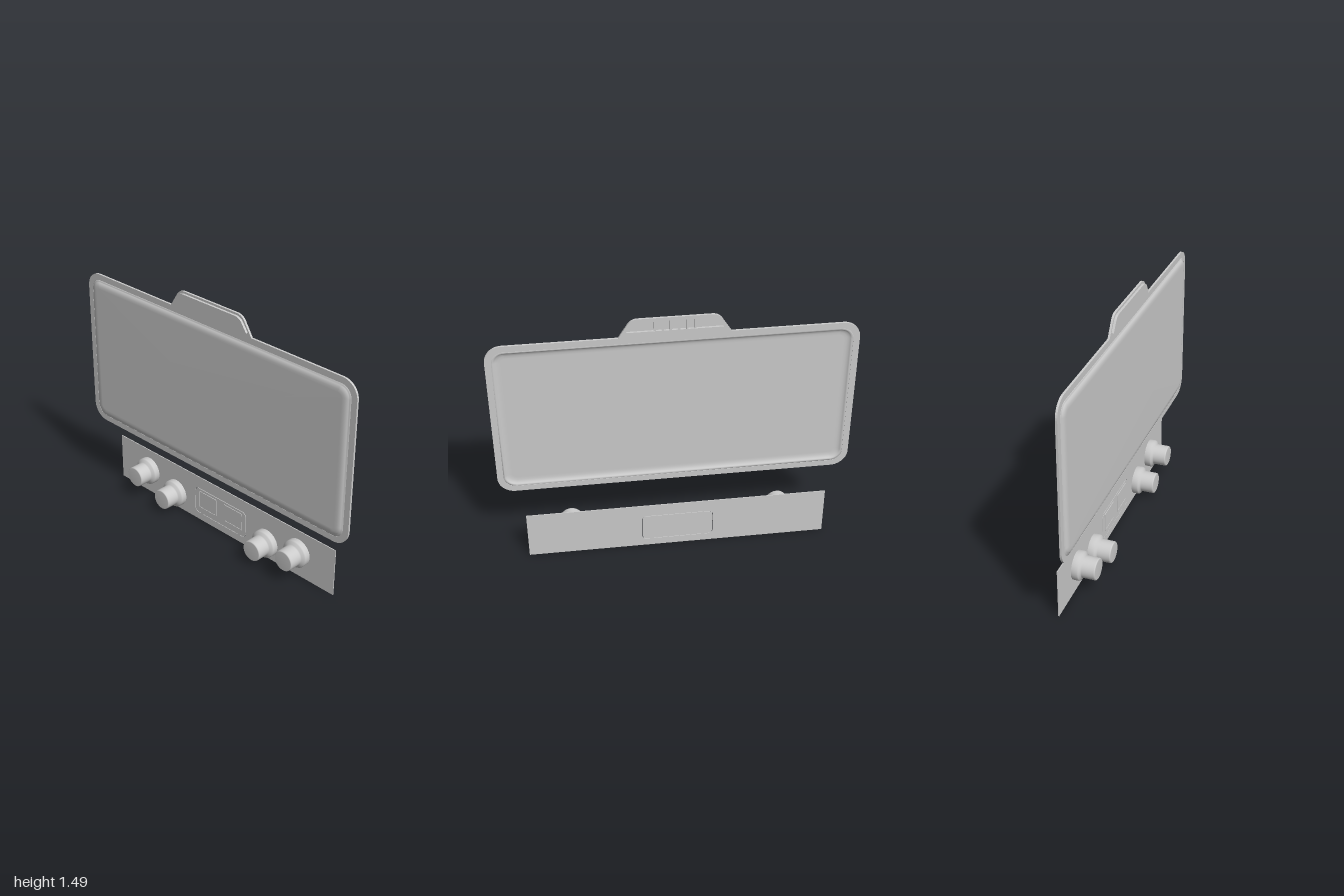
import * as THREE from 'three';

const material = new THREE.MeshStandardMaterial({ color: 0xcccccc });
const SCREEN_Y = 0.901; // height of the screen's centre
const PANEL_X = -0.003; // centre of the control panel

function add(parent, name, geometry, x = 0, y = 0, z = 0) {
  const mesh = new THREE.Mesh(geometry, material);
  mesh.name = name;
  mesh.position.set(x, y, z);
  parent.add(mesh);
  return mesh;
}

// Counter-clockwise corner arcs of a rounded rectangle, starting bottom right
function roundedRect(hx, hy, r, cx = 0, cy = 0, n = 10) {
  const points = [];
  [[1, -1], [1, 1], [-1, 1], [-1, -1]].forEach(([sx, sy], corner) => {
    for (let i = 0; i <= n; i++) {
      const a = (corner - 1 + i / n) * Math.PI / 2;
      points.push(new THREE.Vector2(cx + sx * (hx - r) + r * Math.cos(a), cy + sy * (hy - r) + r * Math.sin(a)));
    }
  });
  return points;
}

function plate(shape, depth) {
  return new THREE.ExtrudeGeometry(shape, { depth, bevelEnabled: false, curveSegments: 10 });
}

// Right-hand half of the ear's outline, mirrored to the left
function earOutline(foot, footY, shoulder, shoulderY, cornerX, top, topY) {
  const curve = new THREE.QuadraticBezierCurve(
    new THREE.Vector2(shoulder, shoulderY), new THREE.Vector2(cornerX, topY), new THREE.Vector2(top, topY));
  const right = [new THREE.Vector2(foot, footY), ...curve.getPoints(10)];
  return [...right, ...right.map(p => new THREE.Vector2(-p.x, p.y)).reverse()];
}

// Closed pressed sheet: rings run from the front centre, round the edge, to the back centre
function pressedSheet(rings) {
  const position = [], index = [];
  const loops = rings.map(([inset, z]) =>
    roundedRect(1 - inset, 0.479 - inset, 0.095 - inset * 0.8).map(p => [p.x, p.y, z]));
  const n = loops[0].length;
  loops.forEach(loop => loop.forEach(p => position.push(...p)));
  for (let k = 0; k < loops.length - 1; k++) {
    for (let i = 0; i < n; i++) {
      const a = k * n + i, b = k * n + (i + 1) % n;
      index.push(a, a + n, b, b, a + n, b + n);
    }
  }
  const front = position.length / 3, last = (loops.length - 1) * n;
  position.push(0, 0, rings[0][1], 0, 0, rings[rings.length - 1][1]);
  for (let i = 0; i < n; i++) {
    const j = (i + 1) % n;
    index.push(front, i, j, front + 1, last + j, last + i);
  }
  const geometry = new THREE.BufferGeometry();
  geometry.setAttribute('position', new THREE.Float32BufferAttribute(position, 3));
  geometry.setIndex(index);
  geometry.computeVertexNormals();
  return geometry;
}

function buildScreen() {
  const screen = new THREE.Group();
  screen.name = 'screen';

  // Flat rim that runs up into the ear
  const corners = roundedRect(1, 0.479, 0.095, 0, SCREEN_Y);
  const half = corners.length / 2;
  const ear = earOutline(0.3, 1.38, 0.255, 1.45, 0.235, 0.195, 1.488);
  const rim = new THREE.Shape([...corners.slice(0, half), ...ear, ...corners.slice(half)]);
  rim.holes.push(new THREE.Path(roundedRect(0.965, 0.444, 0.067, 0, SCREEN_Y)));
  rim.holes.push(new THREE.Path(earOutline(0.258, 1.41, 0.228, 1.455, 0.21, 0.185, 1.468)));
  add(screen, 'rim', plate(rim, 0.012), 0, 0, 0.012);

  // Pressed middle: raised at the front, hollow at the back
  const profile = [[0.085, 0.037], [0.068, 0.0362], [0.056, 0.033], [0.048, 0.028], [0.044, 0.024], [0.034, 0.023]];
  const back = profile.map(([inset, z]) => [inset, z - 0.009]).reverse();
  add(screen, 'pressedPanel', pressedSheet([...profile, ...back]), 0, SCREEN_Y, 0);

  // Raised ear cover, pierced by rows of small hexagons
  const cover = new THREE.Shape(earOutline(0.275, 1.402, 0.24, 1.453, 0.222, 0.19, 1.476));
  for (let row = 0; row < 3; row++) {
    const count = row === 1 ? 9 : 8;
    for (let i = 0; i < count; i++) {
      const x = (i - (count - 1) / 2) * 0.025, y = 1.418 + row * 0.0215;
      const hole = new THREE.Path();
      for (let k = 0; k < 6; k++) {
        const a = k * Math.PI / 3 + Math.PI / 6;
        hole[k ? 'lineTo' : 'moveTo'](x + 0.0095 * Math.cos(a), y + 0.0095 * Math.sin(a));
      }
      hole.closePath();
      cover.holes.push(hole);
    }
  }
  add(screen, 'earCover', plate(cover, 0.013), 0, 0, 0.024);

  // Upright ribs behind the holes
  for (let i = 0; i < 6; i++) {
    add(screen, 'ventRib', new THREE.BoxGeometry(0.012, 0.06, 0.01), (i - 2.5) * 0.043, 1.439, 0.019);
  }
  return screen;
}

// Knob turned about z: wide skirt, tapered shoulder, straight grip with a softened end
function knobGeometry() {
  const profile = [[0, 0], [0.079, 0], [0.083, 0.004], [0.083, 0.036], [0.079, 0.043], [0.066, 0.05],
    [0.062, 0.056], [0.062, 0.123], [0.0605, 0.129], [0.056, 0.132], [0, 0.132]];
  const geometry = new THREE.LatheGeometry(profile.map(p => new THREE.Vector2(...p)), 40);
  geometry.rotateX(Math.PI / 2);
  return geometry;
}

function frame(hx, hy, r, wall) {
  const shape = new THREE.Shape(roundedRect(hx, hy, r));
  shape.holes.push(new THREE.Path(roundedRect(hx - wall, hy - wall, Math.max(r - wall, 0.001))));
  return shape;
}

function buildControls() {
  const controls = new THREE.Group();
  controls.name = 'controls';

  // Thin board with a groove round the display insert
  const board = new THREE.Shape(roundedRect(0.863, 0.147, 0.001, 0, 0.147, 1));
  board.holes.push(new THREE.Path(roundedRect(0.207, 0.086, 0.028, 0, 0.132)));
  add(controls, 'board', plate(board, 0.005), PANEL_X, 0, -0.066);
  const insert = new THREE.Shape(roundedRect(0.204, 0.083, 0.026));
  add(controls, 'displayInsert', plate(insert, 0.0055), PANEL_X, 0.132, -0.066);

  for (const side of [-1, 1]) {
    // Small display with a raised frame, and a clip under the insert
    const x = PANEL_X + side * 0.103;
    add(controls, 'displayFrame', plate(frame(0.071, 0.057, 0.003, 0.006), 0.005), x, 0.143, -0.062);
    add(controls, 'display', new THREE.BoxGeometry(0.128, 0.1, 0.004), x, 0.143, -0.0605);
    add(controls, 'insertClip', new THREE.BoxGeometry(0.022, 0.012, 0.0062), PANEL_X + side * 0.15, 0.043, -0.063);

    // Outer knob sits higher than the inner one
    for (const [offset, y] of [[0.605, 0.157], [0.369, 0.103]]) {
      add(controls, 'knob', knobGeometry(), PANEL_X + side * offset, y, -0.0655);
    }
  }
  return controls;
}

export function createModel() {
  const model = new THREE.Group();
  model.name = 'displayAndControls';
  model.add(buildScreen(), buildControls());
  return model;
}
